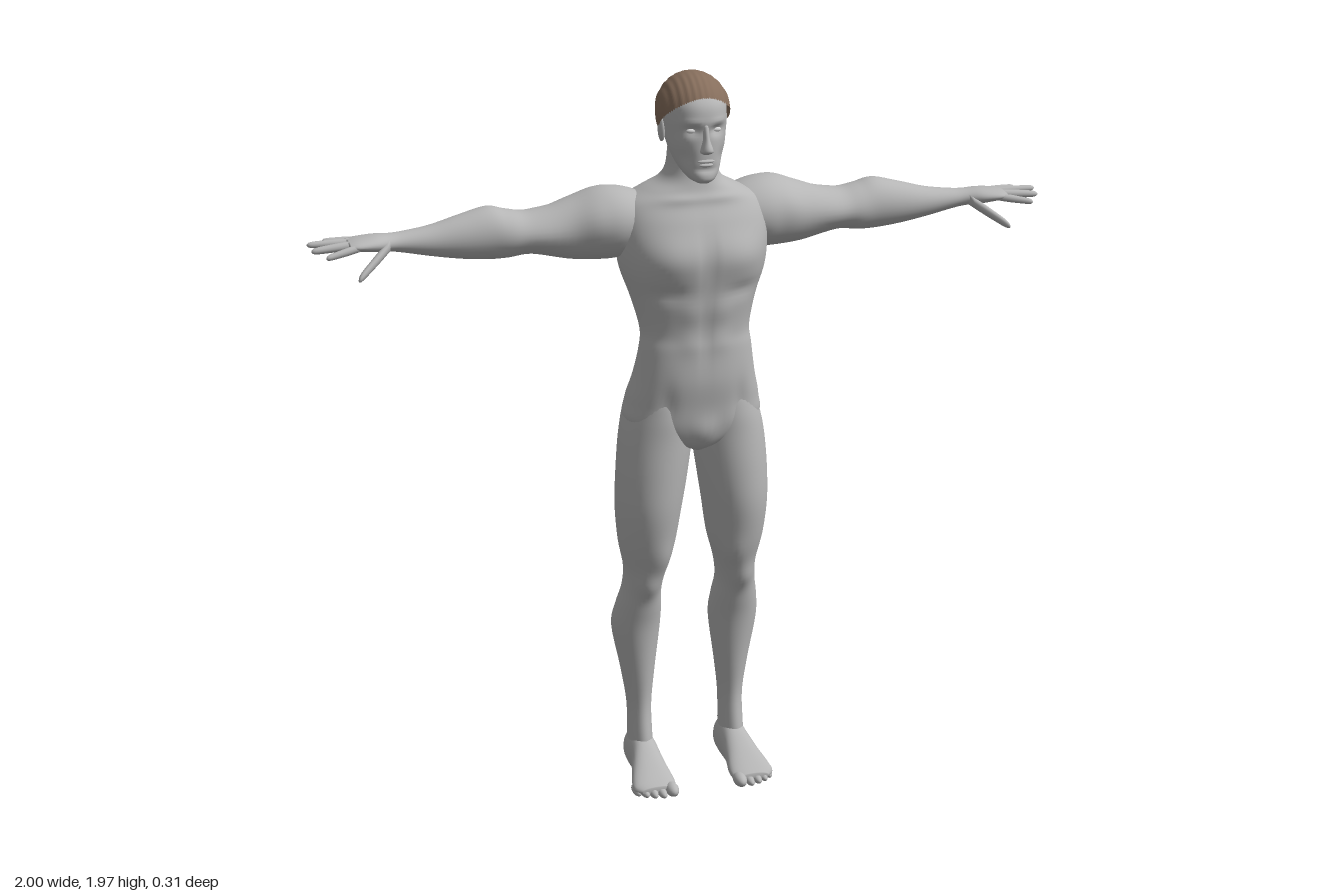
import * as THREE from 'three';
import { mergeVertices } from 'three/addons/utils/BufferGeometryUtils.js';

const skin = new THREE.MeshStandardMaterial({ color: 0xb6b6b6 });
skin.name = 'grey skin';
const hair = new THREE.MeshStandardMaterial({ color: 0x866e5c, side: THREE.DoubleSide });
hair.name = 'brown hair';
const eyeWhite = new THREE.MeshStandardMaterial({ color: 0xd6d6d6 });
eyeWhite.name = 'pale eye';

// Catmull-Rom through rows of numbers
function sampleRows(rows, t) {
  const last = rows.length - 1;
  const i = Math.min(Math.floor(t), last - 1), f = t - i;
  const at = k => rows[Math.max(0, Math.min(last, k))];
  const [a, b, c, d] = [at(i - 1), at(i), at(i + 1), at(i + 2)];
  return b.map((_, k) => 0.5 * (2 * b[k] + (c[k] - a[k]) * f
    + (2 * a[k] - 5 * b[k] + 4 * c[k] - d[k]) * f * f
    + (3 * b[k] - a[k] - 3 * c[k] + d[k]) * f * f * f));
}

// Rounded loft along an axis. Row: [position, min1, max1, min2, max2],
// where 1 and 2 are the next axes in the cycle x, y, z.
function loft(axis, rows, { seg = 32, sub = 5, power = 1, bumps = [] } = {}) {
  const pos = [], idx = [], rings = (rows.length - 1) * sub + 1;
  const put = (t, a, b) => {
    const v = [0, 0, 0];
    v[axis] = t; v[(axis + 1) % 3] = a; v[(axis + 2) % 3] = b;
    pos.push(...v);
  };
  const soft = s => Math.sign(s) * Math.abs(s) ** power;
  for (let r = 0; r < rings; r++) {
    const [t, a0, a1, b0, b1] = sampleRows(rows, r / sub);
    for (let s = 0; s < seg; s++) {
      const w = s / seg * Math.PI * 2;
      put(t, (a0 + a1) / 2 + (a1 - a0) / 2 * soft(Math.cos(w)), (b0 + b1) / 2 + (b1 - b0) / 2 * soft(Math.sin(w)));
      if (r < rings - 1) {
        const p = r * seg + s, q = r * seg + (s + 1) % seg;
        idx.push(p, q, q + seg, p, q + seg, p + seg);
      }
    }
  }
  // end caps
  [rows[0], rows[rows.length - 1]].forEach(([t, a0, a1, b0, b1], end) => {
    const c = pos.length / 3, base = end ? (rings - 1) * seg : 0;
    put(t, (a0 + a1) / 2, (b0 + b1) / 2);
    for (let s = 0; s < seg; s++) {
      const p = base + s, q = base + (s + 1) % seg;
      idx.push(c, end ? p : q, end ? q : p);
    }
  });
  const g = new THREE.BufferGeometry();
  g.setAttribute('position', new THREE.Float32BufferAttribute(pos, 3));
  g.setIndex(idx);
  g.computeVertexNormals();
  if (bumps.length) sculpt(g, bumps);
  return g;
}

// Push the surface in or out around points: [x, y, z, rx, ry, rz, amount]
function sculpt(g, bumps) {
  const p = g.attributes.position, n = g.attributes.normal;
  for (let i = 0; i < p.count; i++) {
    const x = p.getX(i), y = p.getY(i), z = p.getZ(i);
    let d = 0;
    for (const [bx, by, bz, rx, ry, rz, amount] of bumps)
      d += amount * Math.exp(-(((x - bx) / rx) ** 2) - ((y - by) / ry) ** 2 - ((z - bz) / rz) ** 2);
    p.setXYZ(i, x + n.getX(i) * d, y + n.getY(i) * d, z + n.getZ(i) * d);
  }
  g.computeVertexNormals();
}

const both = list => list.flatMap(b => [b, [-b[0], ...b.slice(1)]]);

function ellipsoid(x, y, z, rx, ry, rz) {
  return new THREE.SphereGeometry(1, 20, 14).scale(rx, ry, rz).translate(x, y, z);
}

function mirrored(g) {
  const m = g.clone().scale(-1, 1, 1), a = m.index.array;
  for (let i = 0; i < a.length; i += 3) [a[i], a[i + 1]] = [a[i + 1], a[i]];
  m.computeVertexNormals();
  return m;
}

// Tapered finger or thumb running outward in x
function digit([x0, y0, z0], [x1, y1, z1], r) {
  const rows = [[0, 1], [0.35, 1], [0.6, 0.92], [0.85, 0.8], [0.96, 0.55], [1, 0.15]].map(([t, k]) => {
    const y = y0 + (y1 - y0) * t, z = z0 + (z1 - z0) * t;
    return [x0 + (x1 - x0) * t, y - r * k, y + r * k, z - r * k, z + r * k];
  });
  return loft(0, rows, { seg: 12, sub: 3 });
}

// Scalp hair: a dome cut along the hairline with combed ridges
function hairCap() {
  const g = new THREE.SphereGeometry(1, 96, 32), p = g.attributes.position, uv = g.attributes.uv;
  for (let i = 0; i < p.count; i++) {
    const phi = uv.getX(i) * Math.PI * 2, f = Math.sin(phi);
    const limit = f > 0 ? 108 - 47 * f : 108 - 27 * f;
    const th = (1 - uv.getY(i)) * limit * Math.PI / 180;
    const x = -Math.cos(phi) * Math.sin(th), y = Math.cos(th), z = f * Math.sin(th);
    const k = 1 + 0.012 * Math.cos(x * 36 + z * 3) * Math.sin(th);
    p.setXYZ(i, x * 0.095 * k, 1.865 + y * 0.105 * k, 0.003 + z * 0.119 * k);
  }
  g.deleteAttribute('uv');
  g.deleteAttribute('normal');
  const m = mergeVertices(g, 1e-5);
  m.computeVertexNormals();
  return m;
}

export function createModel() {
  const model = new THREE.Group();
  const add = (name, geometry, material = skin) => {
    const mesh = new THREE.Mesh(geometry, material);
    mesh.name = name;
    model.add(mesh);
  };
  const pair = (name, geometry, material) => {
    add('left ' + name, geometry, material);
    add('right ' + name, mirrored(geometry), material);
  };

  // torso and neck: [y, back, front, half width]
  const torso = [
    [0.965, -0.05, 0.06, 0.02], [0.99, -0.09, 0.09, 0.09], [1.04, -0.125, 0.105, 0.18], [1.1, -0.125, 0.113, 0.18],
    [1.17, -0.1, 0.122, 0.163], [1.25, -0.072, 0.12, 0.15], [1.3, -0.082, 0.117, 0.146], [1.38, -0.122, 0.127, 0.165],
    [1.46, -0.146, 0.136, 0.192], [1.53, -0.15, 0.133, 0.2], [1.59, -0.148, 0.112, 0.198], [1.635, -0.14, 0.088, 0.18],
    [1.665, -0.122, 0.076, 0.13], [1.69, -0.098, 0.069, 0.085], [1.72, -0.08, 0.063, 0.066], [1.77, -0.07, 0.055, 0.06],
    [1.82, -0.06, 0.05, 0.055],
  ].map(([y, b, f, w]) => [y, b, f, -w, w]);
  add('torso', loft(1, torso, {
    seg: 80, sub: 6, power: 0.85, bumps: [
      ...both([
        [0.085, 1.5, 0.13, 0.075, 0.05, 0.06, 0.014],    // chest
        [0.1, 1.52, -0.15, 0.06, 0.09, 0.06, 0.01],      // shoulder blade
        [0.045, 1.27, -0.08, 0.035, 0.1, 0.05, 0.008],   // lower back
        [0.08, 1.07, -0.12, 0.06, 0.06, 0.06, 0.012],    // seat
        [0.04, 1.36, 0.12, 0.03, 0.035, 0.04, 0.005],    // abdomen
        [0.04, 1.28, 0.12, 0.03, 0.035, 0.04, 0.005],
        [0.1, 1.41, 0.11, 0.05, 0.02, 0.05, -0.007],     // rib edge
        [0.06, 1.65, 0.08, 0.06, 0.012, 0.04, 0.005],    // collar bone
        [0.1, 1.1, 0.1, 0.02, 0.06, 0.05, -0.006],       // groin line
      ]),
      [0, 1.5, 0.13, 0.014, 0.07, 0.05, -0.008],
      [0, 1.3, 0.12, 0.01, 0.1, 0.05, -0.004],
      [0, 1.4, -0.13, 0.022, 0.2, 0.08, -0.016],
      [0, 1.06, -0.13, 0.02, 0.07, 0.06, -0.035],
      [0, 1.03, 0.1, 0.03, 0.035, 0.04, 0.01],
    ],
  }));

  // legs: [y, back, front, inner, outer]
  pair('leg', loft(1, [
    [0.04, -0.118, -0.005, 0.102, 0.162], [0.1, -0.12, -0.005, 0.1, 0.165], [0.2, -0.12, -0.02, 0.1, 0.165],
    [0.3, -0.132, -0.014, 0.09, 0.18], [0.43, -0.148, 0, 0.074, 0.205], [0.5, -0.125, 0.015, 0.075, 0.199],
    [0.56, -0.102, 0.03, 0.08, 0.187], [0.62, -0.102, 0.053, 0.072, 0.184], [0.7, -0.113, 0.08, 0.05, 0.2],
    [0.8, -0.12, 0.1, 0.034, 0.209], [0.9, -0.117, 0.103, 0.017, 0.207], [1, -0.122, 0.1, 0.003, 0.198],
    [1.07, -0.13, 0.098, 0.006, 0.182], [1.13, -0.105, 0.085, 0.03, 0.158], [1.16, -0.05, 0.04, 0.07, 0.12],
  ], {
    seg: 40, bumps: [
      [0.132, 0.575, 0.04, 0.03, 0.035, 0.04, 0.01],     // kneecap
      [0.1, 0.66, 0.06, 0.03, 0.05, 0.05, 0.008],        // inner thigh muscle
      [0.14, 0.55, -0.1, 0.03, 0.05, 0.04, -0.006],      // knee hollow
      [0.085, 1.06, -0.13, 0.05, 0.055, 0.06, 0.012],    // seat
      [0.14, 0.42, -0.15, 0.012, 0.07, 0.04, -0.005],    // calf split
    ],
  }));

  // feet: [z, inner, outer, bottom, top]
  pair('foot', loft(2, [
    [-0.13, 0.118, 0.145, 0.025, 0.06], [-0.12, 0.102, 0.162, 0.006, 0.095], [-0.08, 0.094, 0.17, 0, 0.125],
    [-0.02, 0.092, 0.172, 0, 0.115], [0.03, 0.088, 0.184, 0.004, 0.085], [0.075, 0.081, 0.197, 0, 0.058],
    [0.105, 0.082, 0.199, 0.002, 0.042], [0.125, 0.095, 0.18, 0.008, 0.03],
  ], { power: 0.9 }));
  for (let i = 0; i < 5; i++) {
    const r = i ? 0.012 : 0.018;
    pair('toe', ellipsoid([0.098, 0.126, 0.149, 0.17, 0.188][i], r, 0.122 - i * i * 0.0022, r, r, 0.033));
  }

  // arms and palms: [x, bottom, top, back, front]
  pair('arm', loft(0, [
    [0.1, 1.53, 1.64, -0.11, 0.03], [0.15, 1.5, 1.662, -0.14, 0.05], [0.2, 1.485, 1.673, -0.15, 0.055],
    [0.25, 1.482, 1.67, -0.152, 0.042], [0.32, 1.486, 1.645, -0.15, 0.02], [0.42, 1.506, 1.62, -0.14, 0.001],
    [0.48, 1.501, 1.627, -0.137, 0], [0.53, 1.5, 1.638, -0.134, -0.005], [0.6, 1.507, 1.623, -0.122, -0.012],
    [0.68, 1.521, 1.602, -0.107, -0.022], [0.75, 1.536, 1.592, -0.097, -0.028], [0.79, 1.544, 1.59, -0.092, -0.024],
    [0.83, 1.548, 1.592, -0.098, -0.006], [0.875, 1.555, 1.588, -0.1, 0.002], [0.9, 1.561, 1.583, -0.096, -0.004],
  ], {
    bumps: [
      [0.27, 1.6, 0.04, 0.05, 0.05, 0.05, 0.008],        // shoulder muscle
      [0.4, 1.56, 0, 0.06, 0.03, 0.04, 0.006],           // upper arm muscle
      [0.36, 1.62, -0.1, 0.03, 0.04, 0.06, -0.004],
    ],
  }));

  // fingers and thumbs
  const fingers = [
    [[0.875, 1.57, -0.012], [0.965, 1.555, 0.012], 0.0105], [[0.88, 1.573, -0.036], [0.995, 1.566, -0.026], 0.0115],
    [[0.88, 1.574, -0.061], [1.0, 1.575, -0.06], 0.011], [[0.87, 1.573, -0.085], [0.955, 1.574, -0.094], 0.0095],
  ];
  fingers.forEach(f => pair('finger', digit(...f)));
  pair('thumb', digit([0.795, 1.565, -0.03], [0.89, 1.498, 0.036], 0.0145));

  // head: [y, back, front, half width]
  const head = [
    [1.698, 0.05, 0.108, 0.018], [1.71, 0.025, 0.119, 0.036], [1.74, -0.02, 0.117, 0.056], [1.78, -0.06, 0.117, 0.07],
    [1.82, -0.085, 0.116, 0.077], [1.86, -0.095, 0.117, 0.081], [1.9, -0.092, 0.108, 0.078], [1.935, -0.07, 0.075, 0.058],
    [1.955, -0.03, 0.035, 0.028],
  ].map(([y, b, f, w]) => [y, b, f, -w, w]);
  add('head', loft(1, head, {
    seg: 64, sub: 6, power: 0.92, bumps: [
      ...both([
        [0.033, 1.835, 0.11, 0.02, 0.013, 0.04, -0.012], // eye socket
        [0.035, 1.857, 0.11, 0.025, 0.008, 0.04, 0.003], // brow
        [0.05, 1.765, 0.09, 0.02, 0.025, 0.04, -0.005],  // cheek
      ]),
      [0, 1.735, 0.118, 0.025, 0.007, 0.03, -0.006],
    ],
  }));
  add('nose', loft(1, [
    [1.775, 0.1, 0.122, -0.009, 0.009], [1.782, 0.095, 0.14, -0.017, 0.017], [1.792, 0.095, 0.143, -0.015, 0.015],
    [1.815, 0.095, 0.131, -0.009, 0.009], [1.85, 0.095, 0.118, -0.008, 0.008],
  ], { seg: 20 }));
  add('upper lip', ellipsoid(0, 1.757, 0.115, 0.023, 0.005, 0.009));
  add('lower lip', ellipsoid(0, 1.747, 0.114, 0.019, 0.005, 0.009));
  pair('eye', ellipsoid(0.033, 1.834, 0.094, 0.014, 0.007, 0.008), eyeWhite);
  pair('ear', ellipsoid(0.081, 1.822, -0.005, 0.009, 0.032, 0.018).rotateX(0));

  // hair and ponytail
  add('hair cap', hairCap(), hair);
  add('ponytail', loft(1, [
    [1.69, -0.113, -0.101, -0.005, 0.005], [1.72, -0.121, -0.089, -0.014, 0.014], [1.78, -0.122, -0.083, -0.018, 0.018],
    [1.83, -0.118, -0.078, -0.015, 0.015], [1.85, -0.125, -0.075, -0.021, 0.021], [1.88, -0.115, -0.07, -0.018, 0.018],
  ], { seg: 20 }), hair);

  return model;
}
